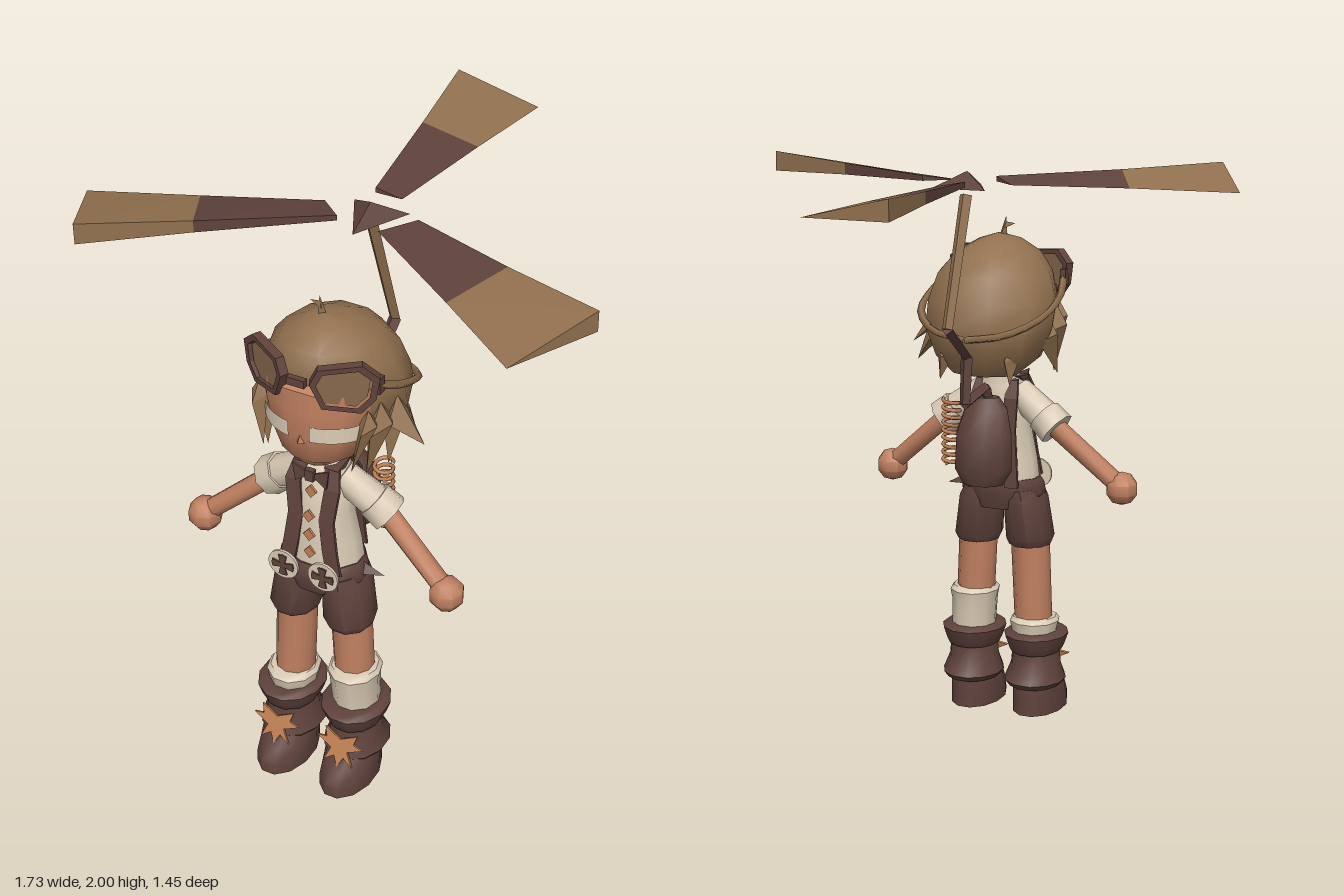
import * as THREE from 'three';
import { toCreasedNormals } from 'three/addons/utils/BufferGeometryUtils.js';
import { ConvexGeometry } from 'three/addons/geometries/ConvexGeometry.js';

const V = (p) => new THREE.Vector3(...p);
const paint = (name, color) => {
  const m = new THREE.MeshStandardMaterial({ color });
  m.name = name;
  return m;
};

export function createModel() {
  const root = new THREE.Group();
  root.name = 'propellerExplorer';
  const skin = paint('skin', 0xc08060), hair = paint('hairBrown', 0x92714f);
  const dark = paint('darkLeather', 0x5f423c), cream = paint('creamCloth', 0xdacbb5);
  const orange = paint('orangeTrim', 0xc08154), lens = paint('goggleLens', 0x86684c);

  const add = (name, geo, mat, parent = root) => {
    const mesh = new THREE.Mesh(geo, mat);
    mesh.name = name;
    parent.add(mesh);
    return mesh;
  };

  // Body of elliptical rings, bottom to top: [y, cz, rx, rz, cx]
  const loft = (name, mat, rings, n = 10) => {
    const pos = [], idx = [];
    for (const [y, cz, rx, rz, cx = 0] of rings)
      for (let i = 0; i < n; i++) {
        const a = ((i + 0.5) / n) * Math.PI * 2;
        pos.push(cx + Math.sin(a) * rx, y, cz + Math.cos(a) * rz);
      }
    for (let r = 0; r < rings.length - 1; r++)
      for (let i = 0; i < n; i++) {
        const a = r * n + i, b = r * n + (i + 1) % n;
        idx.push(a, b, b + n, a, b + n, a + n);
      }
    const top = (rings.length - 1) * n;
    for (let i = 1; i < n - 1; i++) idx.push(0, i + 1, i, top, top + i, top + i + 1);
    const geo = new THREE.BufferGeometry();
    geo.setAttribute('position', new THREE.Float32BufferAttribute(pos, 3));
    geo.setIndex(idx);
    return add(name, toCreasedNormals(geo, 0.85), mat);
  };

  // Tapered round or square bar between two points
  const limb = (name, mat, a, b, ra, rb, sides = 8) => {
    const d = V(b).sub(V(a));
    const geo = toCreasedNormals(new THREE.CylinderGeometry(rb, ra, d.length(), sides), 0.9);
    const mesh = add(name, geo, mat);
    mesh.position.copy(V(a)).addScaledVector(d, 0.5);
    mesh.quaternion.setFromUnitVectors(new THREE.Vector3(0, 1, 0), d.normalize());
    return mesh;
  };

  const hull = (name, mat, pts) => add(name, new ConvexGeometry(pts.map(V)), mat);

  // Pointed lock with a flat triangular root
  const lock = (name, [x, y, z], tip, w, mat = hair) =>
    hull(name, mat, [[x, y + w, z], [x, y - w * 0.3, z - w], [x, y - w * 0.3, z + w], [x - w * 0.6, y, z], [x + w * 0.6, y, z], tip]);

  // Flat band of box segments facing front or back
  const band = (name, mat, pts, w) => {
    for (let i = 0; i < pts.length - 1; i++) {
      const corners = [];
      for (const [x, y, z] of [pts[i], pts[i + 1]])
        for (const dx of [-w, w]) corners.push([x + dx, y, z], [x + dx, y - 0.004, z - 0.012]);
      hull(name, mat, corners);
    }
  };

  const outline = (pts) => new THREE.Shape(pts.map(([x, y]) => new THREE.Vector2(x, y)));
  const plate = (name, mat, shape, [x, y, z], depth = 0.008) => {
    const mesh = add(name, new THREE.ExtrudeGeometry(shape, { depth, bevelEnabled: false }), mat);
    mesh.position.set(x, y, z);
    return mesh;
  };

  // Propeller: each blade is [tall edge, thin edge] at root, colour split and tip
  const blades = [
    [[-0.046, 0.055, 0.046, 0.055], [-0.1, -0.37, 0.1, -0.37], [-0.148, -0.73, 0.148, -0.73]],
    [[-0.07, 0.26, -0.162, 0.17], [-0.425, 0.51, -0.525, 0.31], [-0.715, 0.718, -0.866, 0.43]],
    [[0.162, 0.17, 0.07, 0.26], [0.525, 0.31, 0.425, 0.51], [0.864, 0.43, 0.715, 0.718]],
  ];
  const heights = [[1.968, 1.95], [1.982, 1.942], [2, 1.93]];
  for (const blade of blades) {
    const sec = blade.map(([tx, tz, nx, nz], i) => {
      const [hi, lo] = heights[i];
      return [[tx, hi, tz], [tx, lo, tz], [nx, lo, nz]];
    });
    hull('bladeRoot', dark, [...sec[0], ...sec[1]]);
    hull('bladeTip', hair, [...sec[1], ...sec[2]]);
  }
  hull('propellerHub', dark, [[-0.097, 1.935, 0.1], [0.097, 1.935, 0.1], [0, 1.935, 0.29], [0, 1.99, 0.175]]);

  // Bent mast from pack to propeller
  const mast = [[0, 1.15, 0.37], [0, 1.225, 0.335], [0, 1.2, 0.16], [0, 1.36, 0.175], [0, 1.48, 0.015], [0, 1.91, 0.165]];
  for (let i = 0; i < mast.length - 1; i++)
    limb('mastSegment', i === 4 ? hair : dark, mast[i], mast[i + 1], 0.019, 0.022, 4);

  // Head and hair
  loft('face', skin, [[1.27, 0.52, 0.07, 0.07], [1.31, 0.51, 0.13, 0.115], [1.4, 0.5, 0.17, 0.142],
    [1.5, 0.5, 0.19, 0.146], [1.57, 0.5, 0.19, 0.142], [1.6, 0.48, 0.1, 0.1]], 12);
  hull('nose', skin, [[-0.02, 1.38, 0.625], [0.02, 1.38, 0.625], [0, 1.43, 0.625], [0, 1.39, 0.655]]);
  loft('hairCap', hair, [[1.28, 0.33, 0.12, 0.09], [1.34, 0.35, 0.19, 0.155], [1.44, 0.37, 0.232, 0.21],
    [1.53, 0.4, 0.235, 0.215], [1.62, 0.42, 0.205, 0.205], [1.685, 0.44, 0.15, 0.165],
    [1.73, 0.455, 0.075, 0.09], [1.75, 0.46, 0.01, 0.01]], 10);
  hull('cowlick', hair, [[0, 1.74, 0.455], [-0.025, 1.74, 0.465], [-0.01, 1.74, 0.445], [-0.022, 1.81, 0.46]]);
  hull('cowlickCurl', hair, [[-0.02, 1.79, 0.46], [-0.015, 1.765, 0.465], [-0.015, 1.765, 0.455], [-0.055, 1.785, 0.46]]);
  for (const s of [-1, 1]) {
    lock('cheekLock', [s * 0.19, 1.46, 0.55], [s * 0.155, 1.3, 0.6], 0.05);
    lock('sideLock', [s * 0.2, 1.44, 0.49], [s * 0.175, 1.26, 0.54], 0.07);
    lock('earLock', [s * 0.2, 1.42, 0.4], [s * 0.215, 1.27, 0.47], 0.07);
    lock('napeLock', [s * 0.12, 1.36, 0.28], [s * 0.13, 1.26, 0.24], 0.06);
  }
  lock('flickLock', [0.22, 1.44, 0.42], [0.32, 1.35, 0.43], 0.06);
  lock('flickLock', [0.2, 1.4, 0.36], [0.27, 1.3, 0.36], 0.06);

  // Eyes and goggles
  const frame = [[-0.1, 0.02], [-0.075, 0.07], [0.06, 0.085], [0.112, 0.04], [0.1, -0.035], [0.055, -0.085], [-0.065, -0.068]];
  for (const s of [-1, 1]) {
    const eye = add('eye', new THREE.CylinderGeometry(1, 1, 1, 6, 1, true, s > 0 ? 0.2 : -1.2, 1), cream);
    eye.scale.set(0.184, 0.055, 0.148);
    eye.position.set(0, 1.43, 0.5);
    const pts = frame.map(([x, y]) => [x * s, y]);
    const inner = pts.map(([x, y]) => [x * 0.8, y * 0.78]);
    const rim = outline(pts);
    rim.holes.push(outline(inner));
    const r = plate('goggleRim', dark, rim, [s * 0.123, 1.605, 0.585], 0.03);
    const l = plate('goggleLens', lens, outline(inner), [s * 0.123, 1.605, 0.597]);
    r.rotation.y = l.rotation.y = s * 0.5;
    const strap = [[0.21, 1.6, 0.53], [0.238, 1.55, 0.43], [0.225, 1.49, 0.29], [0.13, 1.44, 0.185], [0, 1.42, 0.158]];
    const path = new THREE.CatmullRomCurve3(strap.map(([x, y, z]) => new THREE.Vector3(x * s, y, z)));
    add('goggleStrap', new THREE.TubeGeometry(path, 10, 0.014, 4), hair);
    const buckle = add('strapBuckle', new THREE.BoxGeometry(0.02, 0.055, 0.03), dark);
    buckle.position.set(s * 0.215, 1.6, 0.525);
  }
  plate('goggleBridge', dark, outline([[-0.03, -0.012], [0.03, -0.012], [0.03, 0.015], [-0.03, 0.015]]), [0, 1.615, 0.637], 0.02);

  // Torso
  limb('neck', skin, [0, 1.18, 0.48], [0, 1.32, 0.47], 0.045, 0.04);
  loft('shirt', cream, [[0.84, 0.5, 0.14, 0.105], [0.95, 0.5, 0.125, 0.1], [1.07, 0.5, 0.1, 0.092],
    [1.19, 0.49, 0.1, 0.085], [1.24, 0.48, 0.065, 0.065]], 12);
  loft('collar', cream, [[1.22, 0.485, 0.075, 0.075], [1.27, 0.475, 0.06, 0.06], [1.275, 0.475, 0.045, 0.045]]);
  for (const y of [0.93, 1, 1.075, 1.16])
    plate('button', orange, outline([[0, -0.024], [0.02, 0], [0, 0.024], [-0.02, 0]]), [0, y, y > 1.1 ? 0.577 : 0.596]);
  plate('bowTieKnot', dark, outline([[-0.015, -0.02], [0.015, -0.02], [0.015, 0.02], [-0.015, 0.02]]), [0, 1.225, 0.572], 0.02);

  const cross = [];
  for (let i = 0; i < 16; i++) {
    const a = (i / 16) * Math.PI * 2, k = i % 4 === 2 ? 0.012 : 0.04;
    cross.push([Math.cos(a) * k, Math.sin(a) * k]);
  }
  const lace = [[0, 0.03], [0.06, 0.06], [0.05, 0.025], [0.085, 0.015], [0.03, -0.01], [0.055, -0.06], [0.02, -0.035],
    [0, -0.075], [-0.015, -0.035], [-0.05, -0.06], [-0.03, -0.01], [-0.085, 0.02], [-0.05, 0.025], [-0.06, 0.06]];

  for (const s of [-1, 1]) {
    // Straps, tie and belt badges
    plate('bowTieWing', dark, outline([[0, 0], [s * 0.065, 0.03], [s * 0.055, -0.04]]), [0, 1.225, 0.575]);
    band('frontStrap', dark, [[0.055, 1.24, 0.545], [0.07, 1.18, 0.575], [0.055, 1.06, 0.59], [0.07, 0.95, 0.6],
      [0.085, 0.87, 0.605]].map(([x, y, z]) => [x * s, y, z]), 0.026);
    band('backStrap', dark, [[0.055, 1.24, 0.45], [0.065, 1.18, 0.42], [0.06, 1.06, 0.415], [0.075, 0.86, 0.405]]
      .map(([x, y, z]) => [x * s, y, z]), 0.024);
    hull('shoulderStrap', dark, [0.03, 0.08].flatMap((x) => [[s * x, 1.24, 0.55], [s * x, 1.25, 0.45], [s * x, 1.225, 0.5]]));
    const bx = s > 0 ? 0.06 : -0.085;
    plate('beltBadge', cream, new THREE.Shape().absarc(0, 0, 0.054, 0, Math.PI * 2), [bx, 0.865, 0.618], 0.009);
    plate('badgeCross', dark, outline(cross), [bx, 0.865, 0.627], 0.005);

    // Arms
    limb('sleeve', cream, [s * 0.06, 1.19, 0.49], [s * 0.19, 1.095, 0.47], 0.052, 0.058);
    limb('sleeveCuff', cream, [s * 0.165, 1.115, 0.473], [s * 0.218, 1.07, 0.465], 0.064, 0.068);
    limb('arm', skin, [s * 0.17, 1.11, 0.465], [s * 0.43, 0.885, 0.51], 0.036, 0.034);
    const hand = add('hand', toCreasedNormals(new THREE.SphereGeometry(0.06, 8, 5), 0.9), skin);
    hand.position.set(s * 0.445, 0.868, 0.515);

    // Shorts legs, legs and socks
    loft('shortsLeg', dark, [[0.63, 0.52, 0.075, 0.085, s * 0.1], [0.655, 0.52, 0.086, 0.1, s * 0.1],
      [0.8, 0.51, 0.076, 0.105, s * 0.085], [0.84, 0.51, 0.06, 0.1, s * 0.08]]);
    limb('leg', skin, [s * 0.118, 0.28, 0.52], [s * 0.1, 0.68, 0.515], 0.068, 0.07, 10);
    const h = s > 0 ? 0.45 : 0.36;
    loft('sock', cream, [[0.28, 0.52, 0.08, 0.085, s * 0.12], [h - 0.05, 0.525, 0.082, 0.095, s * 0.118],
      [h - 0.015, 0.525, 0.09, 0.1, s * 0.118], [h, 0.525, 0.078, 0.085, s * 0.118]]);

    // Boots
    const x = s * 0.122;
    loft('bootFoot', dark, [[0, 0.575, 0.092, 0.148, x], [0.04, 0.575, 0.092, 0.146, x], [0.09, 0.56, 0.09, 0.13, x],
      [0.15, 0.535, 0.08, 0.1, x]], 12);
    loft('bootAnkle', dark, [[0.105, 0.525, 0.095, 0.115, x], [0.125, 0.525, 0.11, 0.13, x], [0.18, 0.53, 0.09, 0.1, x],
      [0.24, 0.53, 0.085, 0.095, x]], 12);
    loft('bootCuff', dark, [[0.23, 0.53, 0.09, 0.105, x], [0.25, 0.53, 0.1, 0.118, x], [0.295, 0.53, 0.116, 0.132, x],
      [0.308, 0.53, 0.1, 0.115, x]], 12);
    plate('bootBow', orange, outline(lace), [x, 0.17, 0.646]).rotation.x = -0.3;
  }

  // Hips
  loft('shortsHips', dark, [[0.77, 0.51, 0.12, 0.1], [0.82, 0.51, 0.156, 0.115], [0.86, 0.505, 0.15, 0.114],
    [0.88, 0.5, 0.138, 0.108]], 12);
  lock('sashEnd', [0.13, 0.845, 0.5], [0.21, 0.83, 0.49], 0.03, dark);

  // Back pack with a coil spring on its side
  loft('backpack', dark, [[0.885, 0.32, 0.075, 0.06], [0.94, 0.32, 0.108, 0.08], [1.06, 0.325, 0.105, 0.078],
    [1.15, 0.345, 0.08, 0.055], [1.19, 0.35, 0.045, 0.035]]);
  const helix = new THREE.Curve();
  helix.getPoint = (t, out = new THREE.Vector3()) => {
    const a = t * Math.PI * 18;
    return out.set(0.135 + Math.cos(a) * 0.03, 0.93 + t * 0.24, 0.35 + Math.sin(a) * 0.033);
  };
  add('coilSpring', new THREE.TubeGeometry(helix, 108, 0.007, 5), orange);
  return root;
}
